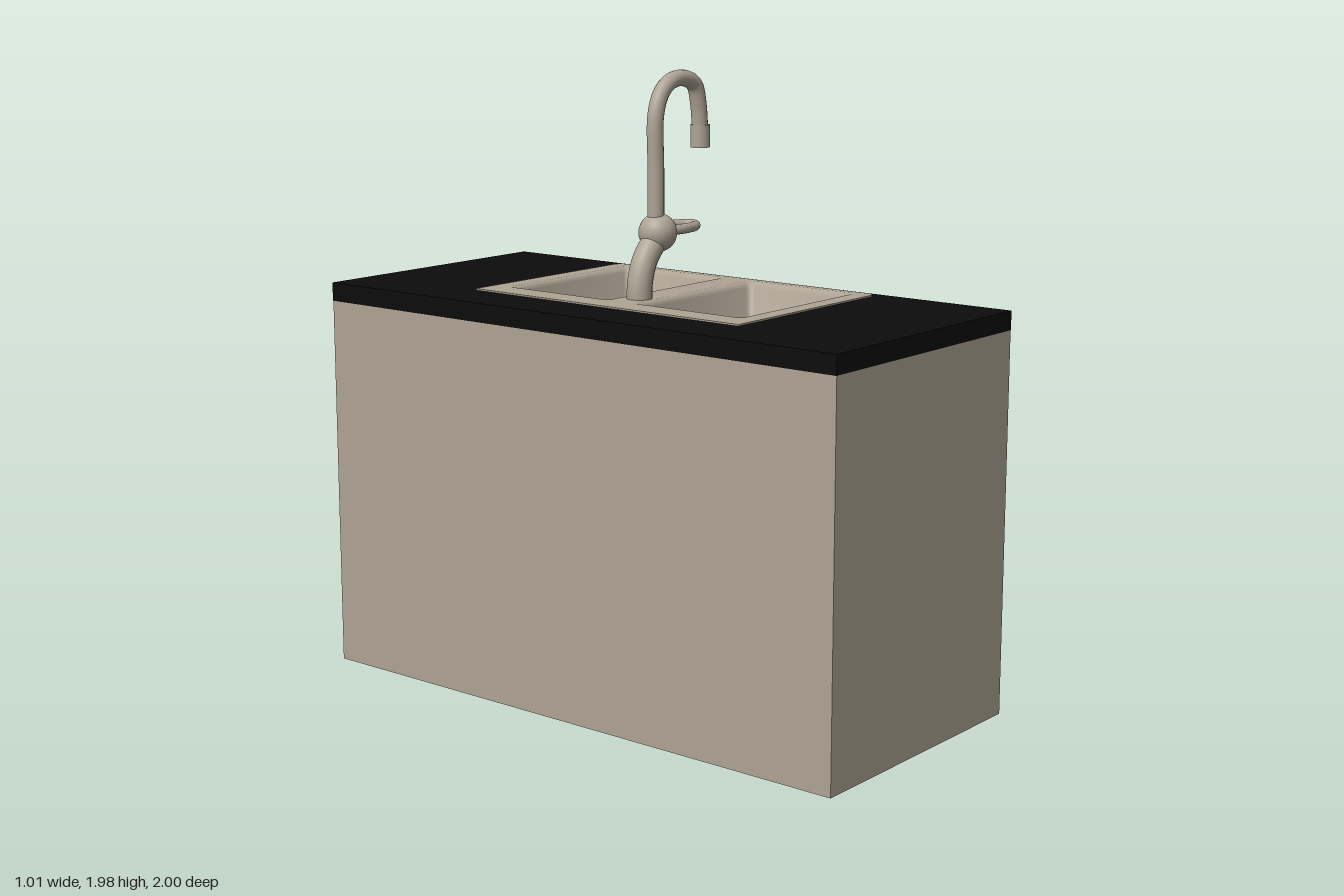
import * as THREE from 'three';
import { toCreasedNormals } from 'three/addons/utils/BufferGeometryUtils.js';

const beige = new THREE.MeshStandardMaterial({ color: 0xaea494 });
beige.name = 'warm beige';
const black = new THREE.MeshStandardMaterial({ color: 0x0c0c0c });
black.name = 'black';

const CORNER_STEPS = 4;

// Counter-clockwise rectangle; rLeft and rRight round the corners on each side.
function rectPoints(x0, x1, y0, y1, rLeft = 0, rRight = rLeft) {
  const pts = [];
  const corners = [[x1, y0, rRight, -1, 1], [x1, y1, rRight, -1, -1], [x0, y1, rLeft, 1, -1], [x0, y0, rLeft, 1, 1]];
  corners.forEach(([x, y, r, sx, sy], k) => {
    if (!r) return pts.push(new THREE.Vector2(x, y));
    for (let i = 0; i <= CORNER_STEPS; i++) {
      const a = (k - 1 + i / CORNER_STEPS) * Math.PI / 2;
      pts.push(new THREE.Vector2(x + sx * r + r * Math.cos(a), y + sy * r + r * Math.sin(a)));
    }
  });
  return pts;
}

function extrude(outline, holes, depth) {
  const shape = new THREE.Shape(outline);
  holes.forEach((h) => shape.holes.push(new THREE.Path(h)));
  return new THREE.ExtrudeGeometry(shape, { depth, bevelEnabled: false });
}

// Horizontal slab, plan drawn in (x, -z).
function slab(outline, holes, y, height) {
  return extrude(outline, holes, height).rotateX(-Math.PI / 2).translate(0, y, 0);
}

function boxBetween(x0, x1, y0, y1, z0, z1) {
  return new THREE.BoxGeometry(x1 - x0, y1 - y0, z1 - z0)
    .translate((x0 + x1) / 2, (y0 + y1) / 2, (z0 + z1) / 2);
}

// Basin lofted from rounded-rectangle rings: [inset, height, corner radius].
function basinGeometry([x0, x1, y0, y1]) {
  const rings = [
    [0, 1.285, 0.02], [0.012, 1.281, 0.02], [0.02, 1.268, 0.02],
    [0.03, 1.15, 0.02], [0.045, 1.128, 0.02], [0.085, 1.115, 0.02],
  ];
  const pos = [], idx = [];
  let n = 0;
  rings.forEach(([d, h, r]) => {
    const pts = rectPoints(x0 + d, x1 - d, y0 + d, y1 - d, r);
    n = pts.length;
    pts.forEach((p) => pos.push(p.x, h, -p.y));
  });
  for (let k = 0; k < rings.length - 1; k++) {
    for (let i = 0; i < n; i++) {
      const j = (i + 1) % n, a = k * n, b = a + n;
      idx.push(a + i, a + j, b + j, a + i, b + j, b + i);
    }
  }
  const last = (rings.length - 1) * n, centre = rings.length * n;
  pos.push((x0 + x1) / 2, 1.115, -(y0 + y1) / 2);
  for (let i = 0; i < n; i++) idx.push(centre, last + i, last + (i + 1) % n);
  const geo = new THREE.BufferGeometry();
  geo.setAttribute('position', new THREE.Float32BufferAttribute(pos, 3));
  geo.setIndex(idx);
  return toCreasedNormals(geo, 0.75);
}

function tube(points, radius, segments) {
  const curve = new THREE.CatmullRomCurve3(points.map(([x, y]) => new THREE.Vector3(x, y, 0)));
  return new THREE.TubeGeometry(curve, segments, radius, 16);
}

export function createModel() {
  const model = new THREE.Group();
  model.name = 'kitchenSink';
  const add = (name, geometry, material = beige, parent = model) => {
    const mesh = new THREE.Mesh(geometry, material);
    mesh.name = name;
    parent.add(mesh);
    return mesh;
  };

  // Cabinet, open at the top under the counter
  const cabinet = boxBetween(-0.505, 0.41, 0, 1.22, -0.985, 0.985);
  const faces = Array.from(cabinet.index.array);
  faces.splice(12, 6);
  cabinet.setIndex(faces);
  cabinet.clearGroups();
  cabinet.scale(1, 1, 1 / 0.985);
  add('cabinet', cabinet);

  // Countertop with the sink cut-out
  add('countertop', slab(rectPoints(-0.507, 0.412, -1, 1), [rectPoints(-0.25, 0.37, -0.49, 0.495)], 1.22, 0.06), black);

  // Sink rim and two basins; plan in (x, -z)
  const openings = [[-0.232, 0.356, 0.055, 0.475], [-0.232, 0.356, -0.465, -0.045]];
  const sink = new THREE.Group();
  sink.name = 'sink';
  model.add(sink);
  add('sinkRim', slab(rectPoints(-0.325, 0.385, -0.525, 0.53, 0, 0.03),
    openings.map((o) => rectPoints(...o, 0.02)), 1.279, 0.006), beige, sink);
  openings.forEach((o, i) => add(i ? 'leftBasin' : 'rightBasin', basinGeometry(o), beige, sink));

  // Drain plate with holes shown as light dots
  const drain = new THREE.Group();
  drain.name = 'drain';
  drain.position.set(0.078, 1.118, -0.245);
  sink.add(drain);
  add('drainPlate', new THREE.CylinderGeometry(0.065, 0.065, 0.006, 32), black, drain);
  for (let i = 0; i < 7; i++) {
    const a = i * Math.PI / 3, r = i < 6 ? 0.037 : 0;
    add('drainDot', new THREE.CylinderGeometry(0.012, 0.012, 0.004, 12), beige, drain)
      .position.set(r * Math.cos(a), 0.003, r * Math.sin(a));
  }

  // Doors: frame with a recess, back panel, raised centre panel and knob
  const doors = [
    { name: 'leftDoor', span: [0.0, 0.982], recess: [0.195, 0.802], panel: [0.352, 0.67], knob: 0.138 },
    { name: 'rightDoor', span: [-0.982, -0.01], recess: [-0.835, -0.195], panel: [-0.69, -0.358], knob: -0.148 },
  ];
  doors.forEach(({ name, span, recess, panel, knob }) => {
    const door = new THREE.Group();
    door.name = name;
    model.add(door);
    const frame = extrude(rectPoints(-span[1], -span[0], 0.002, 1.215),
      [rectPoints(-recess[1], -recess[0], 0.205, 0.967)], 0.025);
    add('doorFrame', frame.rotateY(Math.PI / 2).translate(0.411, 0, 0), beige, door);
    add('recessPanel', boxBetween(0.408, 0.414, 0.2, 0.97, ...recess), beige, door);
    add('raisedPanel', boxBetween(0.41, 0.435, 0.36, 0.806, ...panel), beige, door);
    add('knob', new THREE.SphereGeometry(0.044, 24, 16), beige, door).position.set(0.458, 1.05, knob);
  });

  // Faucet: curved base, ball joint, neck, nozzle and loop handle
  const faucet = new THREE.Group();
  faucet.name = 'faucet';
  model.add(faucet);
  add('faucetBase', tube([[-0.145, 1.27], [-0.143, 1.33], [-0.12, 1.4], [-0.06, 1.47]], 0.04, 12), beige, faucet);
  add('ballJoint', new THREE.SphereGeometry(0.061, 24, 16), beige, faucet).position.set(-0.055, 1.482, 0);
  add('faucetNeck', tube([[-0.064, 1.49], [-0.064, 1.68], [-0.064, 1.85], [-0.035, 1.917], [0.015, 1.95],
    [0.08, 1.953], [0.128, 1.93], [0.147, 1.87], [0.156, 1.79]], 0.026, 40), beige, faucet);
  add('nozzle', new THREE.CylinderGeometry(0.031, 0.031, 0.072, 20), beige, faucet).position.set(0.157, 1.768, 0);
  const loop = new THREE.EllipseCurve(0, 0, 0.095, 0.045).getPoints(32).slice(0, 32)
    .map((p) => new THREE.Vector3(p.x, 0, p.y));
  add('loopHandle', new THREE.TubeGeometry(new THREE.CatmullRomCurve3(loop, true), 40, 0.016, 12, true), beige, faucet)
    .position.set(0.024, 1.49, 0);

  return model;
}
